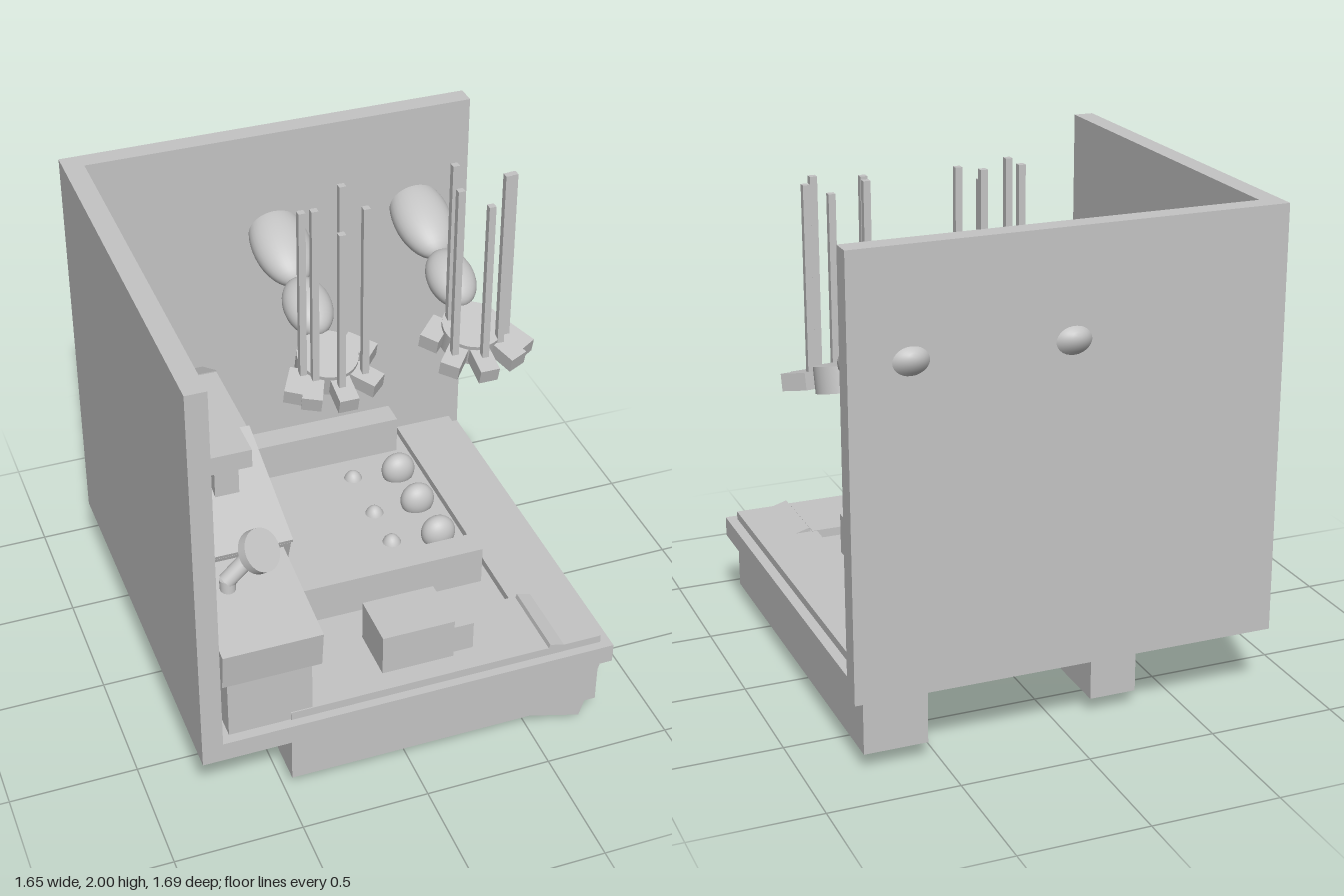
import * as THREE from 'three';

export function createModel() {
  const model = new THREE.Group();
  const grey = new THREE.MeshStandardMaterial({ color: 0xc4c4c4 });
  grey.name = 'plain grey';

  function add(name, geometry, parent = model) {
    const mesh = new THREE.Mesh(geometry, grey);
    mesh.name = name;
    parent.add(mesh);
    return mesh;
  }
  // Box given by its lower and upper limits on each axis
  function box(name, x0, x1, y0, y1, z0, z1, parent) {
    const mesh = add(name, new THREE.BoxGeometry(x1 - x0, y1 - y0, z1 - z0), parent);
    mesh.position.set((x0 + x1) / 2, (y0 + y1) / 2, (z0 + z1) / 2);
    return mesh;
  }
  // Side profile of [z, y] points, extruded between two x values
  function profile(name, points, x0, x1) {
    const shape = new THREE.Shape(points.map(p => new THREE.Vector2(p[0], p[1])));
    const geometry = new THREE.ExtrudeGeometry(shape, { depth: x1 - x0, bevelEnabled: false });
    geometry.rotateY(-Math.PI / 2).translate(x1, 0, 0);
    return add(name, geometry);
  }
  function ellipsoid(name, radii, position, tilt = 0, parent = model) {
    const geometry = new THREE.SphereGeometry(1, 32, 20).rotateX(Math.PI / 2).scale(...radii);
    const mesh = add(name, geometry, parent);
    mesh.position.set(...position);
    mesh.rotation.x = tilt;
    return mesh;
  }
  // Cylinder running between two points
  function rod(name, from, to, radius) {
    const a = new THREE.Vector3(...from), b = new THREE.Vector3(...to);
    const dir = b.clone().sub(a);
    const mesh = add(name, new THREE.CylinderGeometry(radius, radius, dir.length(), 28));
    mesh.position.copy(a).add(b).multiplyScalar(0.5);
    mesh.quaternion.setFromUnitVectors(new THREE.Vector3(0, 1, 0), dir.normalize());
    return mesh;
  }

  // Room: floor slab and two walls
  box('floor', -0.83, 0.825, 0.285, 0.365, -0.81, 0.84);
  box('backWall', -0.83, 0.825, 0.365, 1.94, -0.81, -0.73);
  box('sideWall', -0.83, -0.75, 0.365, 1.94, -0.73, 0.84);

  // Beams passing through the floor
  box('frontBeam', -0.475, 0.56, 0.065, 0.4, 0.485, 0.805);
  box('rightBeam', 0.54, 0.785, 0.07, 0.398, -0.78, 0.805);
  box('leftBeam', -0.33, -0.145, 0.065, 0.398, -0.69, 0.28);
  const corner = add('tiltedCornerBeam', new THREE.BoxGeometry(0.26, 0.355, 0.316));
  corner.position.set(0.645, 0.208, 0.647);
  corner.rotation.z = -0.29;

  // Low bars across the floor
  box('frontBar', -0.33, 0.495, 0.36, 0.53, 0.21, 0.315);
  box('backBar', -0.33, 0.495, 0.36, 0.53, -0.72, -0.615);

  // Small two-part block at the front
  box('block', -0.11, 0.175, 0.47, 0.64, 0.575, 0.79);
  box('blockEnd', 0.175, 0.262, 0.47, 0.59, 0.63, 0.77);

  // Egg-shaped studs in two rows
  for (const z of [-0.445, -0.225, 0.005]) ellipsoid('egg', [0.072, 0.075, 0.056], [0.435, 0.4, z]);
  for (const z of [-0.495, -0.24, -0.04]) ellipsoid('uprightEgg', [0.045, 0.075, 0.045], [0.25, 0.325, z]);

  // Console with sloped top
  profile('consoleBody', [
    [0.315, 0.36], [0.315, 0.7], [0.345, 0.71], [0.4, 0.86],
    [-0.09, 1.04], [-0.51, 1.04], [-0.73, 0.91], [-0.73, 0.36]
  ], -0.75, -0.33);
  profile('consoleSlopePanel', [[0.405, 0.865], [0.41, 0.88], [-0.1, 1.055], [-0.105, 1.035]], -0.735, -0.325);
  profile('consoleRearPanel', [[-0.51, 1.03], [-0.51, 1.045], [-0.73, 0.922], [-0.73, 0.9]], -0.745, -0.325);
  profile('desk', [[0.845, 0.785], [0.4, 0.848], [0.35, 0.7], [0.825, 0.628]].reverse(), -0.74, -0.36);
  box('deskPedestal', -0.715, -0.39, 0.36, 0.7, 0.3, 0.8);

  // Lever on the slope
  box('leverStem', -0.55, -0.455, 0.9, 1.1, 0.055, 0.17);
  box('leverHead', -0.573, -0.413, 1.1, 1.178, 0.045, 0.21);

  // Round dial on a bent stem
  rod('dialBase', [-0.62, 0.77, 0.54], [-0.62, 0.87, 0.53], 0.03);
  rod('dialStem', [-0.625, 0.86, 0.53], [-0.51, 0.96, 0.52], 0.032);
  rod('dial', [-0.504, 0.952, 0.515], [-0.486, 0.976, 0.54], 0.083);

  // Hanging arms with puppet-like strings, the second mirrored
  const fingers = [
    [-0.15, 0.085, -0.5], [-0.1, 0.13, -0.4], [0.012, 0.165, 0], [0.115, 0.115, 0.7], [0.14, -0.03, 0.8]
  ];
  const strings = [
    [-0.118, -0.06, 1.98], [-0.08, -0.025, 2], [0.006, 0.03, 1.915], [0.115, -0.01, 1.98], [0.075, -0.16, 2]
  ];
  for (const [side, cx, label] of [[1, -0.002, 'right'], [-1, 0.598, 'left']]) {
    const arm = new THREE.Group();
    arm.name = label + 'Arm';
    arm.position.x = cx;
    model.add(arm);
    ellipsoid('upperArm', [0.12, 0.088, 0.205], [0, 1.485, -0.65], 0.36, arm);
    ellipsoid('forearm', [0.096, 0.077, 0.14], [0, 1.385, -0.335], 0.33, arm);

    const hand = new THREE.Group();
    hand.name = label + 'Hand';
    hand.position.set(0, 1.26, -0.12);
    hand.rotation.x = 0.27;
    arm.add(hand);
    add('palm', new THREE.CylinderGeometry(0.12, 0.12, 0.1, 32), hand);
    for (const [x, z, angle] of fingers) {
      const finger = add('finger', new THREE.BoxGeometry(0.078, 0.065, 0.125), hand);
      finger.position.set(side * x, 0, z);
      finger.rotation.y = side * angle;
    }
    for (const [x, z, top] of strings) {
      const bottom = z < -0.1 ? 1.28 : 1.22;
      box('string', side * x - 0.0135, side * x + 0.0135, bottom, top, z - 0.0135, z + 0.0135, arm);
    }
  }
  return model;
}
